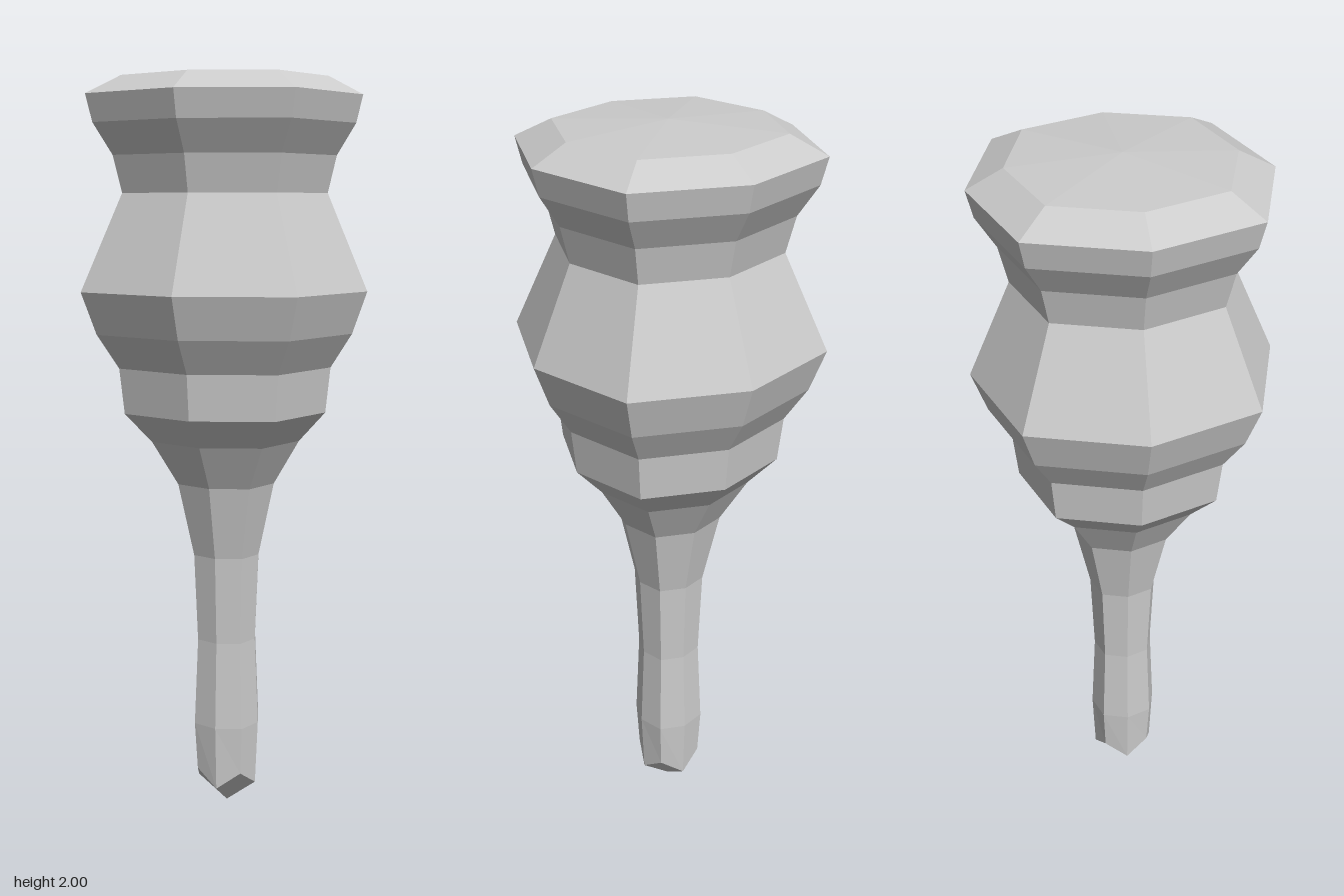
import * as THREE from 'three';

// Turned outline from the tip to the crown: [radius, height]
const profile = [
  [0, 0], [0.084, 0.063], [0.092, 0.24], [0.082, 0.48], [0.092, 0.72],
  [0.135, 0.92], [0.205, 1.04], [0.277, 1.12], [0.29, 1.24], [0.347, 1.33],
  [0.386, 1.44], [0.277, 1.69], [0.3, 1.785], [0.35, 1.865], [0.367, 1.935],
  [0.276, 1.983], [0, 2],
];

export function createModel() {
  const group = new THREE.Group();
  group.name = 'turnedClub';

  // Eight-sided body with its corners lying on the axes and diagonals
  const points = profile.map(([r, y]) => new THREE.Vector2(r, y));
  const geometry = new THREE.LatheGeometry(points, 8);
  const position = geometry.attributes.position;
  for (let i = 0; i < position.count; i++) {
    const side = Math.floor(i / profile.length);
    const ring = i % profile.length;
    if (side % 2 === 0) continue;
    // Diagonal corners bulge slightly, making the section squarish
    position.setX(i, position.getX(i) * 1.063);
    position.setZ(i, position.getZ(i) * 1.063);
    // Diagonal corners of the tip sit higher, giving it a faceted point
    if (ring === 1) position.setY(i, 0.108);
  }
  geometry.computeVertexNormals();

  const material = new THREE.MeshStandardMaterial({ color: 0xcccccc, flatShading: true });
  const body = new THREE.Mesh(geometry, material);
  body.name = 'body';
  group.add(body);
  return group;
}
